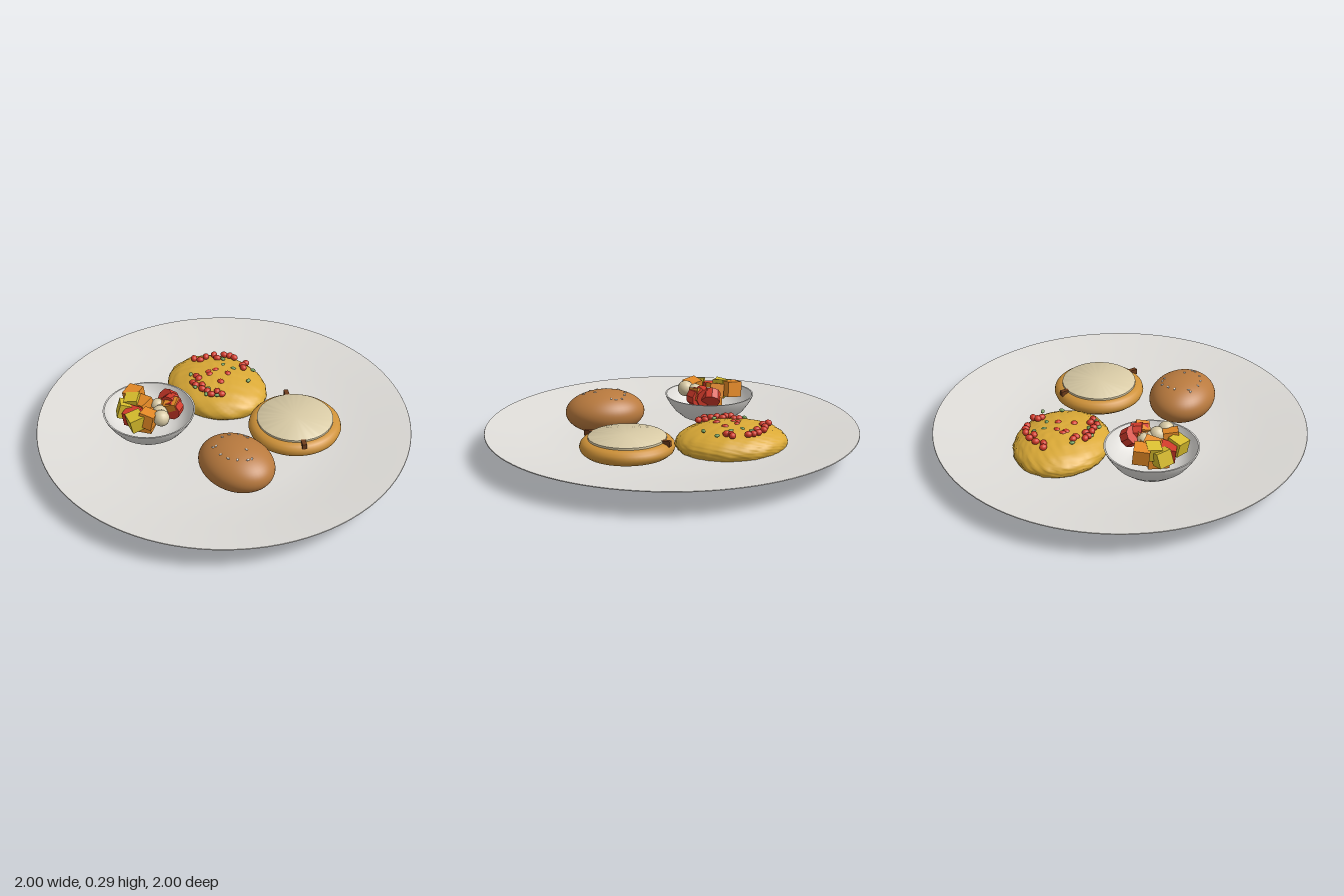
import * as THREE from 'three';
import { mergeVertices, toCreasedNormals } from 'three/addons/utils/BufferGeometryUtils.js';

const mat = (name, color) => new THREE.MeshStandardMaterial({ name, color });

export function createModel() {
  const model = new THREE.Group();
  model.name = 'breakfastPlate';

  const white = mat('porcelain white', 0xdedcd8);
  const gold = mat('egg gold', 0xdaa936);
  const crust = mat('bun brown', 0xb97a3e);
  const amber = mat('pastry amber', 0xcf9238);
  const cream = mat('cream', 0xd9cba6);
  const brown = mat('dark brown', 0x6e3c1c);
  const red = mat('tomato red', 0xd23a2a);
  const orange = mat('fruit orange', 0xe58a26);
  const yellow = mat('fruit yellow', 0xd8bd2c);
  const green = mat('herb green', 0x74a05c);

  const add = (parent, name, geometry, material, x = 0, y = 0, z = 0) => {
    const mesh = new THREE.Mesh(geometry, material);
    mesh.name = name;
    mesh.position.set(x, y, z);
    parent.add(mesh);
    return mesh;
  };
  const group = (name, x = 0, z = 0) => {
    const g = new THREE.Group();
    g.name = name;
    g.position.set(x, 0, z);
    model.add(g);
    return g;
  };
  // Closed solid of revolution, profile runs from bottom centre to top centre
  const turned = (points, segments = 64) => toCreasedNormals(
    new THREE.LatheGeometry(points.map(([r, y]) => new THREE.Vector2(r, y)), segments), 0.7);

  // Shallow plate
  add(model, 'plate', turned([
    [0, 0.066], [0.5, 0.067], [0.58, 0.072], [0.68, 0.083], [0.8, 0.101], [0.92, 0.121], [1, 0.134],
    [0.998, 0.138], [0.92, 0.126], [0.8, 0.106], [0.68, 0.088], [0.58, 0.077], [0.5, 0.072], [0, 0.071],
  ], 96), white);

  // Omelette: ellipsoid roughened by layered waves
  const omelette = group('omelette', -0.27, -0.22);
  let egg = new THREE.SphereGeometry(1, 80, 52);
  egg.deleteAttribute('uv');
  egg.deleteAttribute('normal');
  egg = mergeVertices(egg, 1e-4);
  const pos = egg.attributes.position;
  for (let i = 0; i < pos.count; i++) {
    const x = pos.getX(i), y = pos.getY(i), z = pos.getZ(i);
    const bump = 0.010 * Math.sin(13 * x + 5 * z + 3 * y) * Math.sin(11 * z - 6 * y + 1)
      + 0.009 * Math.sin(25 * x - 9 * y + 2) * Math.sin(23 * z + 17 * y)
      + 0.006 * Math.sin(37 * y + 19 * x) * Math.sin(33 * z - 21 * x);
    const k = 1 + bump;
    pos.setXYZ(i, x * k * 0.297, y * k * 0.102, z * k * 0.249);
  }
  egg.computeVertexNormals();
  add(omelette, 'omeletteBody', egg, gold, 0, 0.104, 0);

  // Toppings at one level, given as x, z in hundredths of a unit
  const toppings = group('omeletteToppings');
  const dot = new THREE.SphereGeometry(1, 14, 10);
  const scatter = (parent, name, list, material, y, sx, sy, sz) => list.forEach(([x, z], i) => {
    const m = add(parent, name, dot, material, x / 100, y, z / 100);
    m.scale.set(sx, sy, sz);
    m.rotation.y = i * 1.7;
  });
  scatter(toppings, 'tomatoPiece', [
    [-31, -40], [-34, -39.5], [-37, -38], [-41, -34], [-37.5, -33], [-43, -29.5], [-43, -25],
    [-46.5, -23.5], [-22.5, -40.5], [-20.5, -36.5], [-22.5, -38], [-33.5, -12.5], [-31, -12],
    [-30.5, -7], [-28, -6.5], [-23, -6.5], [-19.5, -7], [-16, -6.5], [-15.5, -10.5], [-12, -10.5],
    [-25.5, -9], [-29.5, -23.5], [-22.5, -26], [-29, -18.5], [-20, -18], [-31, -19.5],
  ], red, 0.196, 0.021, 0.017, 0.018);
  scatter(toppings, 'herbPiece', [
    [-34.5, -34.5], [-10, -29.5], [-15, -38.5], [-30.5, -30.5], [-24, -32], [-37, -11.5],
    [-21, -9], [-18, -4.5], [-13, -8], [-27, -5],
  ], green, 0.196, 0.015, 0.009, 0.01);

  // Round pastry with a raised cream filling and two dark strips
  const pastry = group('pastry', 0.29, -0.245);
  add(pastry, 'pastryCrust', turned([
    [0, 0.085], [0.19, 0.085], [0.222, 0.094], [0.241, 0.11], [0.248, 0.129], [0.243, 0.148],
    [0.23, 0.162], [0.212, 0.17], [0.195, 0.172], [0, 0.172],
  ]), amber);
  add(pastry, 'creamFilling', turned([
    [0, 0.168], [0.203, 0.168], [0.203, 0.182], [0.196, 0.187], [0, 0.189],
  ]), cream);
  const across = 0.63;
  for (const side of [0, Math.PI]) {
    const a = across + side;
    const strip = add(pastry, 'darkStrip', new THREE.BoxGeometry(0.046, 0.03, 0.024), brown,
      0.22 * Math.cos(a), 0.17, 0.22 * Math.sin(a));
    strip.rotation.y = -a;
  }

  // Bun with a ring of seeds
  const bun = group('bun', 0.322, 0.238);
  add(bun, 'bunBody', new THREE.SphereGeometry(1, 48, 32), crust, 0, 0.173, 0).scale.set(0.216, 0.117, 0.175);
  [[0.28, 0.135], [0.245, 0.147], [0.222, 0.19], [0.213, 0.23], [0.238, 0.302], [0.3, 0.333],
    [0.35, 0.33], [0.393, 0.307], [0.43, 0.27], [0.378, 0.227], [0.438, 0.25], [0.304, 0.14], [0.23, 0.315]]
    .forEach(([x, z], i) => {
      const dx = x - 0.322, dz = z - 0.238;
      const y = 0.173 + 0.117 * Math.sqrt(1 - (dx / 0.216) ** 2 - (dz / 0.175) ** 2);
      const seed = add(bun, 'seed', dot, white, dx, y, dz);
      seed.scale.set(0.009, 0.004, 0.005);
      seed.rotation.y = i * 2.1;
    });

  // Fruit bowl
  const bowl = group('fruitBowl', -0.277, 0.287);
  add(bowl, 'bowlShell', turned([
    [0, 0.075], [0.1, 0.08], [0.15, 0.1], [0.192, 0.135], [0.222, 0.175], [0.24, 0.206], [0.246, 0.222],
    [0.238, 0.222], [0.228, 0.2], [0.21, 0.172], [0.18, 0.138], [0.142, 0.112], [0.1, 0.1], [0, 0.096],
  ]), white);

  // Diced fruit: x, y, z, turn, tilt, material, size
  const cube = new THREE.BoxGeometry(1, 1, 1);
  [
    [-0.4, 0.245, 0.28, 0.3, 0.1, orange, 0.085], [-0.31, 0.235, 0.295, 0.1, 0.2, orange, 0.08],
    [-0.2, 0.245, 0.365, 0.4, -0.15, orange, 0.08], [-0.25, 0.215, 0.235, 0.7, 0.3, orange, 0.075],
    [-0.36, 0.248, 0.325, 0.6, 0.15, yellow, 0.075], [-0.365, 0.225, 0.375, 0.9, -0.2, yellow, 0.08],
    [-0.24, 0.235, 0.415, 1.2, 0.12, yellow, 0.08], [-0.295, 0.22, 0.385, 0.25, 0.1, red, 0.08],
    [-0.19, 0.245, 0.2, 0.5, 0.2, orange, 0.07], [-0.28, 0.18, 0.32, 0.5, 0, orange, 0.11],
  ].forEach(([x, y, z, turn, tilt, material, s]) => {
    const m = add(bowl, 'fruitCube', cube, material, x + 0.277, y, z - 0.287);
    m.scale.setScalar(s);
    m.rotation.set(tilt, turn, tilt * 0.7);
  });
  // Faceted red wedges at the back
  const wedge = new THREE.CylinderGeometry(0.052, 0.052, 0.06, 9);
  [[-0.255, 0.235, 0.165, 0.5], [-0.215, 0.24, 0.185, 1.1], [-0.185, 0.23, 0.2, 1.6]].forEach(([x, y, z, a]) => {
    add(bowl, 'redWedge', toCreasedNormals(wedge, 0.5), red, x + 0.277, y, z - 0.287).rotation.set(a, a * 2, 0.4);
  });
  // Pale round fruit
  [[-0.148, 0.25, 0.318, 0.044], [-0.195, 0.24, 0.285, 0.042], [-0.26, 0.235, 0.24, 0.036], [-0.22, 0.22, 0.255, 0.04]]
    .forEach(([x, y, z, r]) => add(bowl, 'paleBall', dot, cream, x + 0.277, y, z - 0.287).scale.setScalar(r));

  return model;
}
